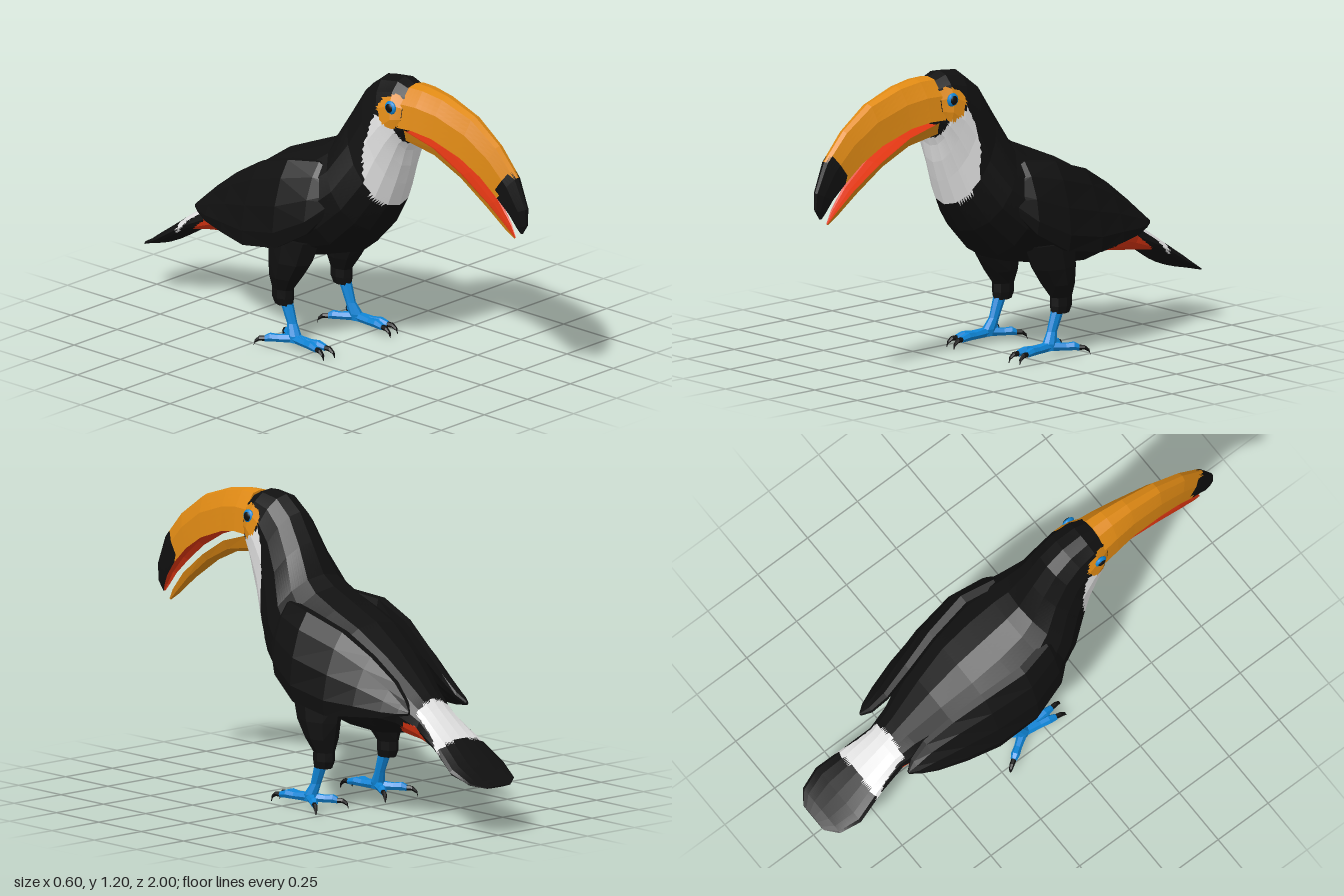
import * as THREE from 'three';

const mat = (name, color) => {
  const m = new THREE.MeshStandardMaterial({ color });
  m.name = name;
  return m;
};
const V = (x, y, z) => new THREE.Vector3(x, y, z);

// Point-in-polygon test in the side plane (z, y)
function inside(poly, z, y) {
  let hit = false;
  for (let i = 0, j = poly.length - 1; i < poly.length; j = i++) {
    const [az, ay] = poly[i], [bz, by] = poly[j];
    if ((ay > y) !== (by > y) && z < ((bz - az) * (y - ay)) / (by - ay) + az) hit = !hit;
  }
  return hit;
}

// Faceted skin over closed rings; pick(z, y, side) chooses each face's material.
// sub subdivides the facets so that markings get clean borders.
function loft(name, rings, pick, sub = 1) {
  const n = rings[0].length;
  const cap = (r) => {
    const c = r.reduce((s, p) => s.add(p), V(0, 0, 0)).divideScalar(n);
    return r.map(() => c);
  };
  const all = [cap(rings[0]), ...rings, cap(rings[rings.length - 1])];
  const tris = [];
  let volume = 0;
  const add = (a, b, c, side) => {
    const cross = b.clone().sub(a).cross(c.clone().sub(a));
    if (cross.length() < 1e-10) return;
    volume += a.dot(cross);
    tris.push([a, b, c, side]);
  };
  for (let i = 0; i < all.length - 1; i++) {
    for (let j = 0; j < n; j++) {
      const k = (j + 1) % n;
      const at = (u, v) => all[i][j].clone().lerp(all[i][k], u / sub)
        .lerp(all[i + 1][j].clone().lerp(all[i + 1][k], u / sub), v / sub);
      for (let u = 0; u < sub; u++) for (let v = 0; v < sub; v++) {
        const a = at(u, v), b = at(u + 1, v), c = at(u + 1, v + 1), d = at(u, v + 1);
        add(a, b, c, j);
        add(a, c, d, j);
      }
    }
  }
  const byMat = new Map();
  for (const [a, b, c, side] of tris) {
    const m = pick.isMaterial ? pick : pick((a.z + b.z + c.z) / 3, (a.y + b.y + c.y) / 3, side);
    if (!byMat.has(m)) byMat.set(m, []);
    byMat.get(m).push(...(volume > 0 ? [a, b, c] : [a, c, b]));
  }
  const group = new THREE.Group();
  group.name = name;
  for (const [m, pts] of byMat) {
    const g = new THREE.BufferGeometry().setFromPoints(pts);
    g.computeVertexNormals();
    const mesh = new THREE.Mesh(g, m);
    mesh.name = `${name} ${m.name}`;
    group.add(mesh);
  }
  return group;
}

// Ring of n points from a rule on the angle
const ring = (n, f) => Array.from({ length: n }, (_, i) => f(Math.cos(i / n * 2 * Math.PI), Math.sin(i / n * 2 * Math.PI)));

// Symmetric beak ring from a half profile; section is [topZ, topY, bottomZ, bottomY, halfWidth]
const beakRing = (half, [tz, ty, bz, by, w]) => {
  const full = [...half, ...half.slice(1, -1).reverse().map(([u, v]) => [-u, v])];
  return full.map(([u, v]) => V(u * w, by + (ty - by) * v, bz + (tz - bz) * v));
};

export function createModel() {
  const black = mat('black plumage', 0x101010);
  const white = mat('white plumage', 0xe2e2e2);
  const orange = mat('orange beak', 0xe08a14);
  const red = mat('red', 0xdc3512);
  const blue = mat('blue skin', 0x0f86d8);

  const model = new THREE.Group();
  model.name = 'bird';

  // Head, body and tail in one skin: [topZ, topY, bottomZ, bottomY, halfWidth]
  const sections = [
    [0.42, 1.17, 0.40, 0.94, 0.09], [0.34, 1.20, 0.385, 0.90, 0.115],
    [0.25, 1.19, 0.37, 0.83, 0.125], [0.17, 1.13, 0.345, 0.75, 0.135],
    [0.10, 1.02, 0.31, 0.65, 0.155], [0.03, 0.90, 0.23, 0.53, 0.205],
    [-0.03, 0.86, 0.11, 0.41, 0.24], [-0.15, 0.81, -0.02, 0.37, 0.255],
    [-0.28, 0.755, -0.23, 0.33, 0.245], [-0.42, 0.66, -0.37, 0.32, 0.19],
    [-0.57, 0.53, -0.50, 0.34, 0.125], [-0.65, 0.46, -0.62, 0.325, 0.105],
    [-0.78, 0.36, -0.72, 0.315, 0.12], [-0.88, 0.285, -0.87, 0.225, 0.145],
    [-0.96, 0.222, -0.96, 0.205, 0.12], [-1.0, 0.202, -1.0, 0.196, 0.065],
  ];
  const markings = [
    [orange, [[0.405, 1.03], [0.405, 1.13], [0.37, 1.15], [0.31, 1.13], [0.29, 1.09], [0.31, 1.04], [0.36, 1.01]]],
    [white, [[0.40, 0.93], [0.375, 1.015], [0.33, 1.03], [0.29, 1.06], [0.26, 1.0], [0.24, 0.88],
      [0.25, 0.75], [0.28, 0.68], [0.31, 0.645], [0.5, 0.6], [0.5, 0.9]]],
    [white, [[-0.60, 0.6], [-0.62, 0.44], [-0.73, 0.365], [-0.78, 0.3], [-0.8, 0.6]]],
    [red, [[-0.48, 0.30], [-0.50, 0.345], [-0.57, 0.405], [-0.62, 0.405], [-0.72, 0.325], [-0.72, 0.28]]],
  ];
  const bodyRings = sections.map(([tz, ty, bz, by, w]) => ring(16, (c, s) =>
    V(w * s, (ty + by) / 2 + c * (ty - by) / 2, (tz + bz) / 2 + c * (tz - bz) / 2)));
  model.add(loft('body', bodyRings, (z, y) => {
    const m = markings.find(([, poly]) => inside(poly, z, y));
    return m ? m[0] : black;
  }, 6));

  // Upper beak with dark tip and red palate
  const upperHalf = [[0, 1], [0.42, 0.95], [0.85, 0.58], [1, 0], [0.55, 0.12], [0, 0.15]];
  const upper = [
    [0.40, 1.185, 0.39, 1.02, 0.10], [0.47, 1.185, 0.46, 1.02, 0.09], [0.57, 1.17, 0.55, 1.005, 0.075],
    [0.72, 1.12, 0.69, 0.955, 0.06], [0.85, 1.03, 0.79, 0.895, 0.048], [0.95, 0.92, 0.87, 0.825, 0.038],
    [1.0, 0.80, 0.925, 0.765, 0.025], [1.0, 0.73, 0.955, 0.715, 0.014], [0.975, 0.69, 0.968, 0.69, 0.004],
  ];
  const tip = [[0.87, 0.7], [0.87, 0.86], [0.90, 0.92], [0.93, 0.93], [1.1, 0.88], [1.1, 0.6], [0.9, 0.6]];
  model.add(loft('upper beak', upper.map((s) => beakRing(upperHalf, s)), (z, y, j) =>
    j >= 3 && j <= 6 ? red : inside(tip, z, y) ? black : orange, 4));

  // Lower beak with red inner face
  const lowerHalf = [[0, 0.8], [0.75, 0.85], [1, 1], [0.75, 0.3], [0, 0]];
  const lower = [
    [0.40, 1.01, 0.38, 0.94, 0.08], [0.55, 0.965, 0.54, 0.915, 0.066], [0.69, 0.885, 0.67, 0.855, 0.052],
    [0.82, 0.79, 0.80, 0.76, 0.036], [0.90, 0.71, 0.885, 0.69, 0.018], [0.935, 0.665, 0.93, 0.66, 0.004],
  ];
  model.add(loft('lower beak', lower.map((s) => beakRing(lowerHalf, s)), (z, y, j) =>
    j < 2 || j > 5 ? red : orange));

  // Paired parts
  for (const s of [1, -1]) {
    const side = s > 0 ? 'left' : 'right';

    // Eye: blue rim and dark pupil
    for (const [name, m, r, x] of [['eye rim', blue, 0.028, 0.104], ['pupil', black, 0.019, 0.111]]) {
      const eye = new THREE.Mesh(new THREE.SphereGeometry(r, 12, 8), m);
      eye.name = `${side} ${name}`;
      eye.scale.x = 0.45;
      eye.position.set(s * x, 1.098, 0.358);
      model.add(eye);
    }

    // Folded wing: [z, x, y, halfThickness, halfHeight, lean]
    const wing = [
      [0.13, 0.165, 0.70, 0.02, 0.06, 0.02], [0.04, 0.20, 0.67, 0.05, 0.15, 0.04],
      [-0.10, 0.228, 0.62, 0.057, 0.185, 0.04], [-0.28, 0.215, 0.575, 0.05, 0.17, 0.05],
      [-0.42, 0.19, 0.54, 0.042, 0.12, 0.05], [-0.54, 0.165, 0.50, 0.034, 0.07, 0.04],
      [-0.61, 0.155, 0.475, 0.025, 0.03, 0.02], [-0.645, 0.155, 0.46, 0.006, 0.008, 0],
    ];
    model.add(loft(`${side} wing`, wing.map(([z, x, y, hx, hy, lean]) =>
      ring(10, (c, n) => V(s * (x + hx * c - lean * n), y + hy * n, z))), black));

    // Leg rings: [x, y, z, radiusX, radiusZ]
    const limb = (name, rows, m) => model.add(loft(`${side} ${name}`, rows.map(([x, y, z, rx, rz]) =>
      ring(8, (c, n) => V(s * (x + rx * c), y, z + rz * n))), m));
    limb('thigh', [
      [0.155, 0.46, -0.11, 0.075, 0.13], [0.165, 0.36, -0.125, 0.07, 0.105], [0.168, 0.29, -0.145, 0.06, 0.075],
      [0.17, 0.235, -0.16, 0.036, 0.05], [0.17, 0.20, -0.16, 0.037, 0.05], [0.17, 0.17, -0.155, 0.03, 0.042],
    ], black);
    limb('shank', [
      [0.17, 0.19, -0.145, 0.024, 0.028], [0.17, 0.10, -0.112, 0.019, 0.022],
      [0.178, 0.055, -0.092, 0.026, 0.03], [0.18, 0.028, -0.09, 0.022, 0.03],
    ], blue);

    // Toes and hooked claws: two forward, two splayed backward
    const toes = [[-0.018, 0.2], [0.035, 0.19], [0.092, -0.135], [-0.082, -0.135]];
    toes.forEach(([dx, dz], i) => {
      const len = Math.hypot(dx, dz);
      const bar = (rows) => rows.map(([t, y, r]) => ring(6, (c, n) => V(
        s * (0.18 + dx * t + r * c * dz / len), y + r * n, -0.09 + dz * t - r * c * dx / len)));
      const e = 0.045 / len;
      model.add(loft(`${side} toe ${i + 1}`, bar([
        [0, 0.043, 0.02], [0.4, 0.04, 0.016], [0.6, 0.042, 0.018], [1 - e, 0.036, 0.013]]), blue));
      model.add(loft(`${side} claw ${i + 1}`, bar([
        [1 - e * 1.3, 0.036, 0.011], [1 - e * 0.5, 0.035, 0.01], [1 - e * 0.1, 0.022, 0.007], [1, 0.004, 0.002]]), black));
    });
  }

  return model;
}
